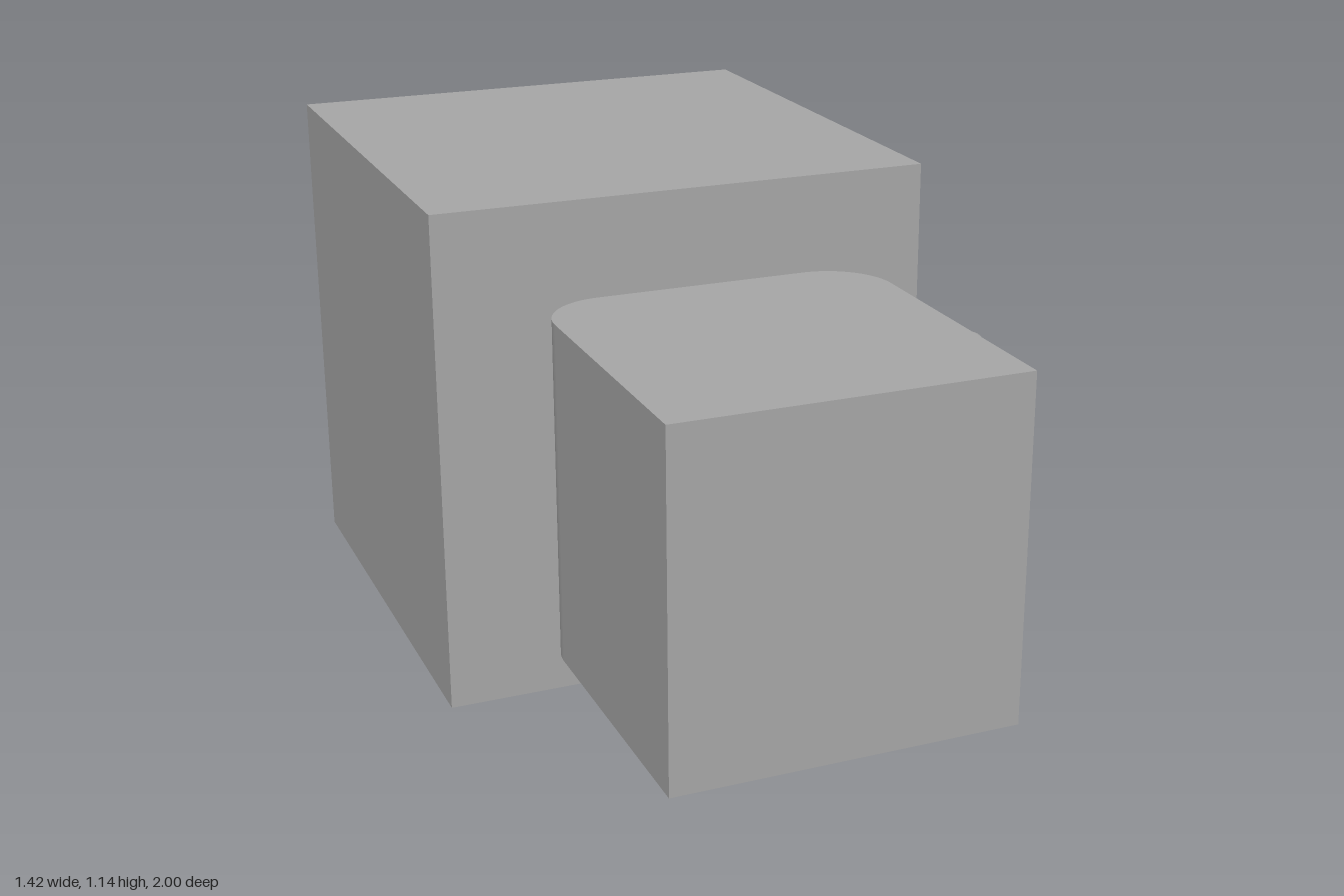
import * as THREE from 'three';

const material = new THREE.MeshStandardMaterial({ color: 0xa5a5a5 });

function part(name, geometry, parent, x = 0, y = 0, z = 0) {
  const mesh = new THREE.Mesh(geometry, material);
  mesh.name = name;
  mesh.position.set(x, y, z);
  parent.add(mesh);
  return mesh;
}

// Plan outline of the head (shape y points to the back): two rounded back corners
function headOutline() {
  const h = 0.381, r = 0.143;
  const s = new THREE.Shape();
  s.moveTo(-h, -h);
  s.lineTo(h, -h);
  s.lineTo(h, h - r);
  s.absarc(h - r, h - r, r, 0, Math.PI / 2);
  s.lineTo(-h + r, h);
  s.absarc(-h + r, h - r, r, Math.PI / 2, Math.PI);
  s.closePath();
  return s;
}

// Arched recess, rounded towards the front
function eyeHole(x) {
  const r = 0.07, p = new THREE.Path();
  p.moveTo(x + r, -0.05);
  p.lineTo(x - r, -0.05);
  p.lineTo(x - r, -0.215);
  p.absarc(x, -0.215, r, Math.PI, Math.PI * 2);
  p.closePath();
  return p;
}

// Crescent recess sagging towards the back
function mouthHole() {
  const p = new THREE.Path();
  p.moveTo(0.286, 0.05);
  p.absarc(0, 0.02, 0.288, 0.104, Math.PI - 0.104);
  p.quadraticCurveTo(0, 0.24, 0.286, 0.05);
  return p;
}

function slab(shape, depth) {
  const g = new THREE.ExtrudeGeometry(shape, { depth, bevelEnabled: false, curveSegments: 24 });
  return g.rotateX(-Math.PI / 2);
}

export function createModel() {
  const model = new THREE.Group();
  model.name = 'crankBox';

  // Body and neck
  const size = 1.143, cx = -0.14;
  part('body', new THREE.BoxGeometry(size, size, size), model, cx, size / 2, size / 2 - 1);
  part('neck', new THREE.BoxGeometry(0.381, 0.381, 0.095), model, cx, size / 2, 0.1905);

  // Head: a recessed bottom layer under a solid block
  const head = new THREE.Group();
  head.name = 'head';
  head.position.set(cx, 0.1905, 0.619);
  model.add(head);
  const recess = 0.1;
  const face = headOutline();
  face.holes.push(eyeHole(-0.12), eyeHole(0.12), mouthHole());
  part('headFace', slab(face, recess), head);
  part('headBlock', slab(headOutline(), 0.762 - recess), head, 0, recess);

  // Crank: axle, flat arm and knob on the left side
  const crank = new THREE.Group();
  crank.name = 'crank';
  crank.position.set(0.4315, 0.573, -0.43);
  model.add(crank);

  const axle = new THREE.CylinderGeometry(0.071, 0.071, 0.15, 40).rotateZ(Math.PI / 2);
  part('axle', axle, crank, 0.075);

  const reach = 0.383, r = 0.071;
  const arm = new THREE.Shape();
  arm.absarc(0, 0, r, Math.PI * 0.5, Math.PI * 1.5);
  arm.absarc(reach, 0, r, -Math.PI / 2, Math.PI / 2);
  arm.closePath();
  const armGeometry = new THREE.ExtrudeGeometry(arm, { depth: 0.018, bevelEnabled: false, curveSegments: 20 });
  // Shape x runs along +z, thickness along -x
  armGeometry.rotateY(-Math.PI / 2);
  part('crankArm', armGeometry, crank, 0.163);

  // Stem and flared knob with a rounded rim
  const profile = [
    [0, 0], [0.025, 0], [0.025, 0.022], [0.035, 0.022], [0.04, 0.027], [0.073, 0.084],
    [0.077, 0.092], [0.078, 0.1], [0.075, 0.109], [0.068, 0.114], [0, 0.114],
  ].map(([x, y]) => new THREE.Vector2(x, y));
  const knob = new THREE.LatheGeometry(profile, 40).rotateZ(-Math.PI / 2);
  part('knob', knob, crank, 0.163, 0, reach);

  return model;
}
